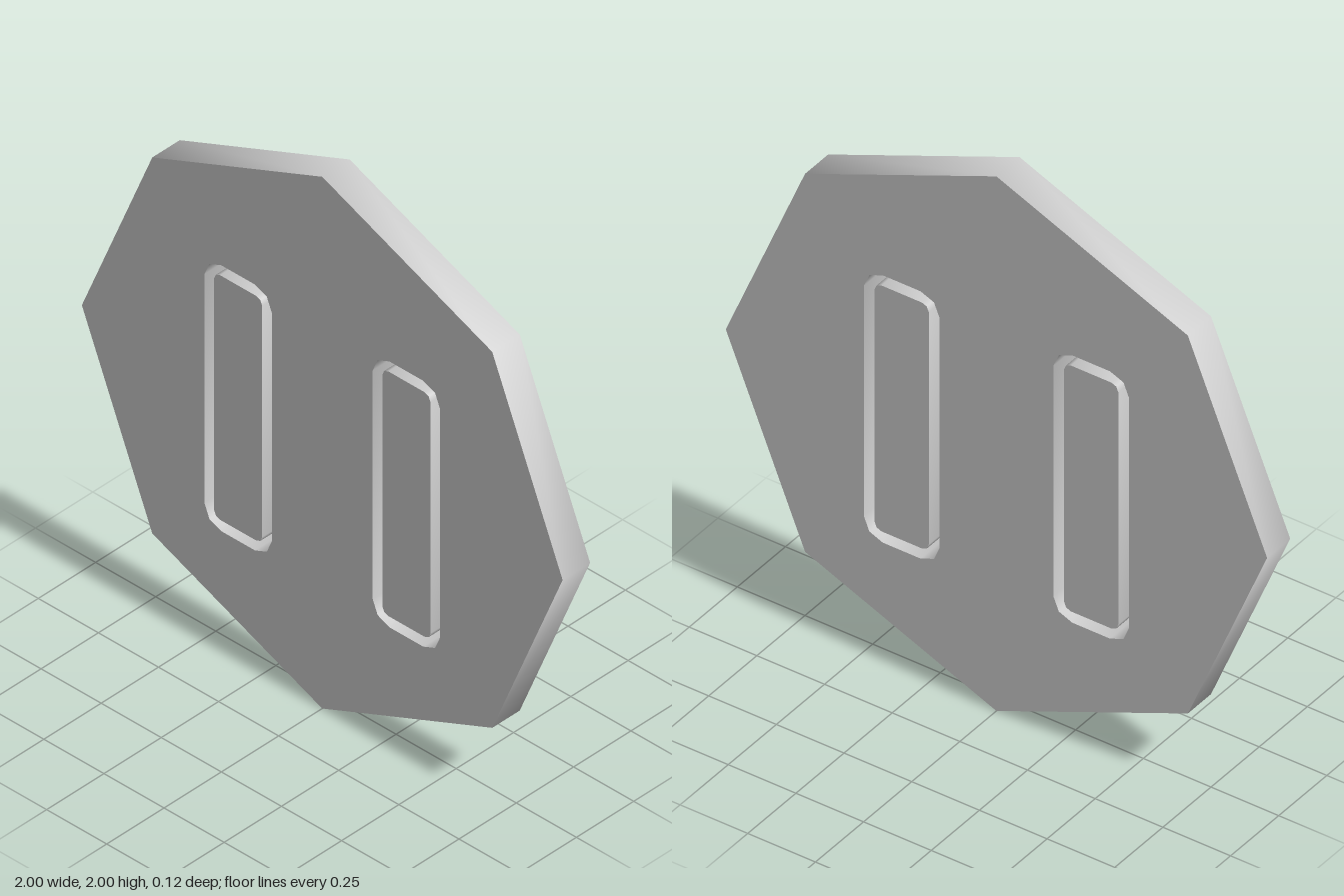
import * as THREE from 'three';
import { toCreasedNormals } from 'three/addons/utils/BufferGeometryUtils.js';

const DEPTH = 0.12;
const SLOT_X = 0.35, CENTRE_Y = 0.95;
const material = new THREE.MeshStandardMaterial({ color: 0xcccccc });

// Outline of an upright rectangle whose corners are rounded in two facets
function roundedOutline(cx, cy, w, h, r) {
  const points = [];
  for (let corner = 0; corner < 4; corner++) {
    const sx = corner === 0 || corner === 3 ? 1 : -1;
    const sy = corner < 2 ? 1 : -1;
    for (let i = 0; i <= 2; i++) {
      const a = (corner + i / 2) * Math.PI / 2;
      points.push(new THREE.Vector2(
        cx + sx * (w / 2 - r) + r * Math.cos(a),
        cy + sy * (h / 2 - r) + r * Math.sin(a)));
    }
  }
  return points;
}

// Extrusion centred on z = 0, smooth around the rim and sharp at the faces
function slab(name, shape) {
  const geometry = new THREE.ExtrudeGeometry(shape, { depth: DEPTH, bevelEnabled: false });
  geometry.translate(0, 0, -DEPTH / 2);
  const mesh = new THREE.Mesh(toCreasedNormals(geometry, THREE.MathUtils.degToRad(50)), material);
  mesh.name = name;
  return mesh;
}

export function createModel() {
  const group = new THREE.Group();
  group.name = 'slottedOctagon';

  // Octagonal disc standing on one corner
  const octagon = new THREE.Shape();
  const corners = [];
  for (let i = 0; i < 8; i++) {
    const a = i * Math.PI / 4;
    corners.push(new THREE.Vector2(Math.cos(a), 1 + Math.sin(a)));
  }
  octagon.setFromPoints(corners);

  // Two slots, each with a loose bar inside
  for (const side of [1, -1]) {
    const x = side * SLOT_X;
    octagon.holes.push(new THREE.Path(roundedOutline(x, CENTRE_Y, 0.28, 1, 0.07)));
    const bar = new THREE.Shape(roundedOutline(x, CENTRE_Y, 0.2, 0.92, 0.025));
    group.add(slab(side > 0 ? 'leftBar' : 'rightBar', bar));
  }

  group.add(slab('octagonPlate', octagon));
  return group;
}
